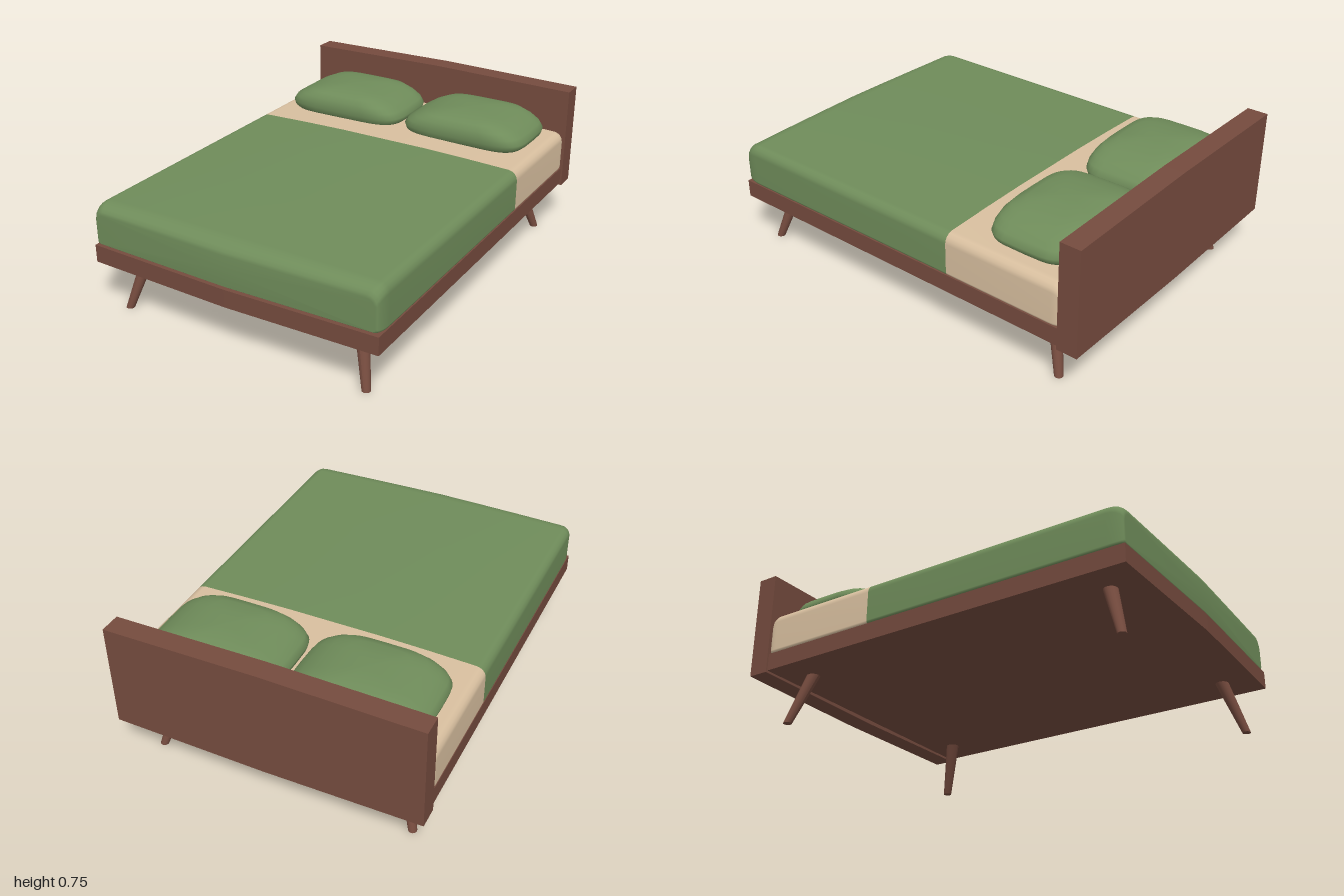
import * as THREE from 'three';

const wood = new THREE.MeshStandardMaterial({ name: 'walnut wood', color: 0x754b3e });
const green = new THREE.MeshStandardMaterial({ name: 'green fabric', color: 0x6f8c5a });
const beige = new THREE.MeshStandardMaterial({ name: 'beige sheet', color: 0xd8bf9f });

function add(parent, name, geometry, material) {
  const mesh = new THREE.Mesh(geometry, material);
  mesh.name = name;
  parent.add(mesh);
  return mesh;
}

// Skin through rings of points, with optional domed caps at either end
function loft(rings, startCap, endCap) {
  const n = rings[0].length, pos = rings.flat(2), idx = [];
  for (let i = 0; i < rings.length - 1; i++) {
    for (let j = 0; j < n; j++) {
      const k = (j + 1) % n;
      const a = i * n + j, b = i * n + k, c = b + n, d = a + n;
      idx.push(a, b, c, a, c, d);
    }
  }
  const cap = (base, centre, flip) => {
    const m = pos.length / 3;
    pos.push(...centre);
    for (let j = 0; j < n; j++) {
      const a = base + j, b = base + (j + 1) % n;
      idx.push(...(flip ? [b, a, m] : [a, b, m]));
    }
  };
  if (startCap) cap(0, startCap, true);
  if (endCap) cap((rings.length - 1) * n, endCap, false);
  const g = new THREE.BufferGeometry();
  g.setAttribute('position', new THREE.Float32BufferAttribute(pos, 3));
  g.setIndex(idx);
  g.computeVertexNormals();
  return g;
}

// Board whose edges swell slightly towards the middle of its width
function bowedBoard(w, h, d, rule) {
  const g = new THREE.BoxGeometry(w, h, d, 2, 1, 1).toNonIndexed();
  const p = g.attributes.position;
  for (let i = 0; i < p.count; i++) {
    if (Math.abs(p.getX(i)) < 0.01) rule(p, i);
  }
  g.computeVertexNormals();
  return g;
}

// Cross-section of the mattress at z; inset runs from 0 (full) to 1 (rounded end)
function mattressRing(z, inset, bow = 0) {
  const w = 0.732 - 0.02 * inset, lo = 0.33 + 0.012 * inset;
  const hi = 0.533 - 0.045 * inset, lift = 0.013 * (1 - inset) * (1 - 0.5 * Math.max(0, z));
  const pts = [];
  const corner = (cx, cy, r, a0) => {
    for (let i = 0; i <= 4; i++) {
      const a = a0 + i * Math.PI / 8;
      pts.push([cx + r * Math.cos(a), cy + r * Math.sin(a)]);
    }
  };
  const span = (x0, x1, y) => {
    for (let i = 1; i < 6; i++) pts.push([x0 + (x1 - x0) * i / 6, y]);
  };
  const r = 0.045, rb = 0.015;
  corner(w - r, hi - r, r, 0);
  span(w - r, r - w, hi);
  corner(r - w, hi - r, r, Math.PI / 2);
  corner(rb - w, lo + rb, rb, Math.PI);
  span(rb - w, w - rb, lo);
  corner(w - rb, lo + rb, rb, Math.PI * 1.5);
  return pts.map(([x, y]) => {
    const m = 1 - Math.abs(x) / 0.735;
    return [x, y > 0.45 ? y + lift * Math.min(1, m * 1.8) : y, z + bow * m];
  });
}

function pillowGeometry() {
  // height, half-width scale, half-depth scale
  const levels = [
    [0.534, 0.93, 0.92], [0.548, 0.98, 0.97], [0.572, 1, 1], [0.6, 0.94, 0.995],
    [0.625, 0.82, 0.96], [0.65, 0.65, 0.87], [0.664, 0.43, 0.68], [0.671, 0.2, 0.35],
  ];
  const sq = (v) => Math.sign(v) * Math.abs(v) ** 0.45;
  const rings = levels.map(([y, sx, sz]) => Array.from({ length: 40 }, (_, i) => {
    const a = i / 40 * Math.PI * 2;
    return [0.328 * sx * sq(Math.cos(a)), y, -0.218 * sz * sq(Math.sin(a))];
  }));
  return loft(rings, [0, 0.534, 0], [0, 0.673, 0]);
}

// Tapered leg leaning from its top (x, z) to its foot, cut level at the floor
function legGeometry(dx, dz) {
  const h = 0.26;
  const g = new THREE.CylinderGeometry(0.033, 0.02, h, 16);
  g.translate(0, h / 2, 0);
  const p = g.attributes.position;
  for (let i = 0; i < p.count; i++) {
    const t = 1 - p.getY(i) / h;
    p.setX(i, p.getX(i) + dx * t);
    p.setZ(i, p.getZ(i) + dz * t);
  }
  g.computeVertexNormals();
  return g;
}

export function createModel() {
  const bed = new THREE.Group();
  bed.name = 'bed';

  // Headboard
  const head = bowedBoard(1.48, 0.51, 0.1, (p, i) => p.setY(i, p.getY(i) + 0.01 * Math.sign(p.getY(i))));
  add(bed, 'headboard', head, wood).position.set(0, 0.49, -0.95);

  // Platform with a slightly bowed front
  const base = bowedBoard(1.462, 0.085, 1.89, (p, i) => {
    if (p.getZ(i) > 0) p.setZ(i, p.getZ(i) + 0.02);
  });
  add(bed, 'platform', base, wood).position.set(0, 0.2875, 0.035);

  // Sheet-covered head end and blanket share one continuous mattress shape
  const ease = [0, 1, 2, 3, 4, 5].map((i) => i * Math.PI / 10);
  const headRings = ease.map((a) => mattressRing(-0.9 + 0.04 * (1 - Math.cos(a)), 0.6 * (1 - Math.sin(a))));
  headRings.push(mattressRing(-0.6, 0), mattressRing(-0.31, 0));
  add(bed, 'sheetedMattress', loft(headRings, [0, 0.43, -0.9], null), beige);

  const footRings = [mattressRing(-0.31, 0), mattressRing(0, 0), mattressRing(0.45, 0)];
  for (const a of ease) {
    footRings.push(mattressRing(0.9 + 0.075 * Math.sin(a), 1 - Math.cos(a), 0.02 * Math.sin(a)));
  }
  add(bed, 'blanket', loft(footRings, null, [0, 0.42, 0.995]), green);

  // Pillows and legs, mirrored left and right
  const pillow = pillowGeometry();
  for (const [side, s] of [['left', 1], ['right', -1]]) {
    add(bed, side + 'Pillow', pillow, green).position.set(s * 0.338, 0.004, -0.655);
    add(bed, side + 'FrontLeg', legGeometry(s * 0.07, 0.08), wood).position.set(s * 0.56, 0, 0.82);
    add(bed, side + 'BackLeg', legGeometry(s * 0.07, -0.08), wood).position.set(s * 0.56, 0, -0.76);
  }
  return bed;
}
